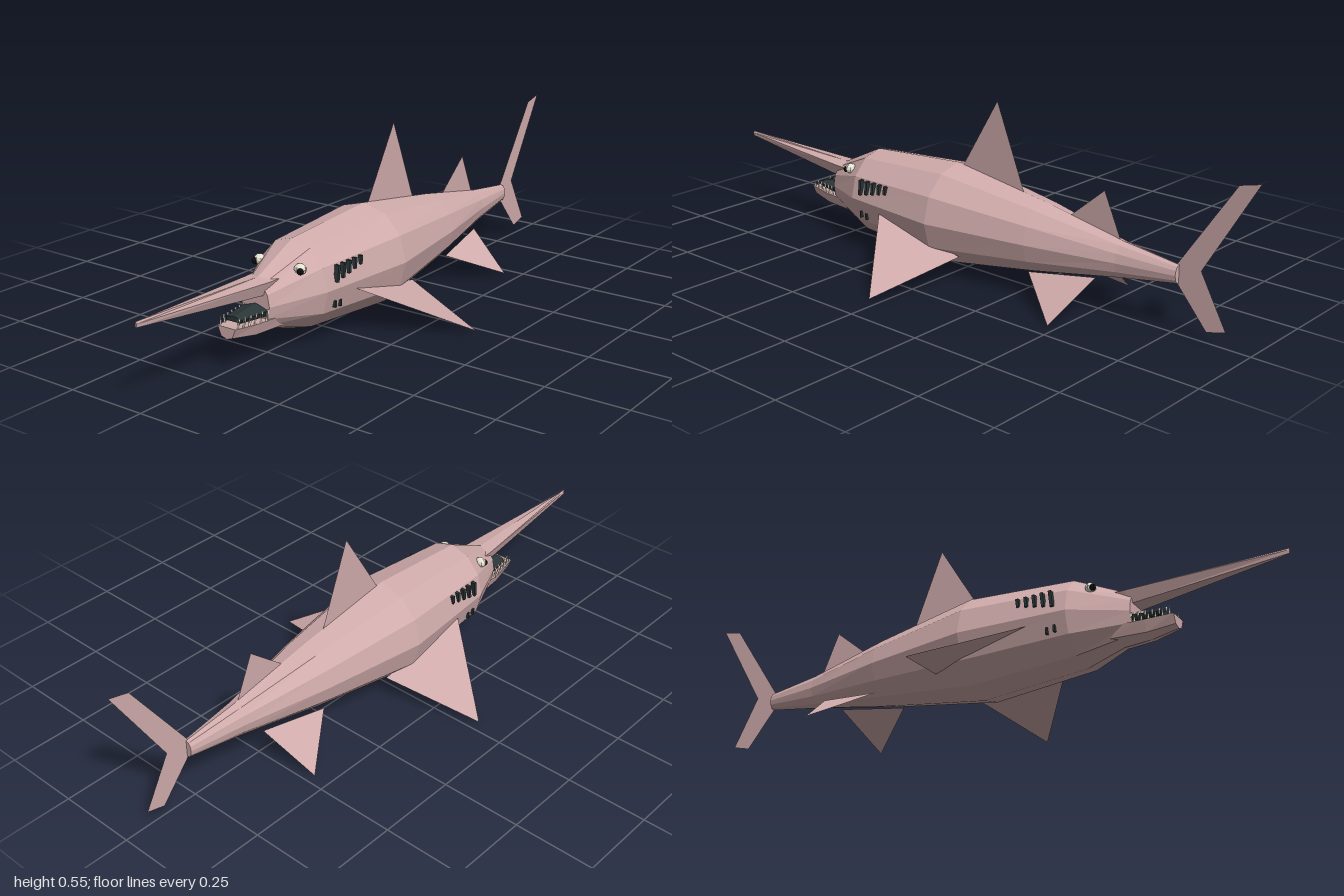
import * as THREE from 'three';

const mat = (name, color) => {
  const m = new THREE.MeshStandardMaterial({ color, flatShading: true, side: THREE.DoubleSide });
  m.name = name;
  return m;
};

// Skin over a row of cross-sections, front to back, each counterclockwise seen from +z
function loft(rings) {
  const n = rings[0].length, last = (rings.length - 1) * n, index = [];
  for (let i = 0; i < rings.length - 1; i++) {
    for (let j = 0; j < n; j++) {
      const a = i * n + j, b = i * n + (j + 1) % n, c = a + n, d = b + n;
      index.push(a, c, d, a, d, b);
    }
  }
  for (let j = 1; j < n - 1; j++) {
    index.push(0, j, j + 1, last, last + j + 1, last + j);
  }
  const g = new THREE.BufferGeometry();
  g.setAttribute('position', new THREE.Float32BufferAttribute(rings.flat(2), 3));
  g.setIndex(index);
  g.computeVertexNormals();
  return g;
}

// Upright flat fin from [z, y] outline points
function uprightFin(points) {
  const shape = new THREE.Shape(points.map(([z, y]) => new THREE.Vector2(z, y)));
  return new THREE.ShapeGeometry(shape).rotateY(-Math.PI / 2);
}

// Flat three-cornered side fin
function sideFin(points) {
  const g = new THREE.BufferGeometry();
  g.setAttribute('position', new THREE.Float32BufferAttribute(points.flat(), 3));
  g.computeVertexNormals();
  return g;
}

export function createModel() {
  const model = new THREE.Group();
  model.name = 'shark';
  const skin = mat('pinkSkin', 0xd0abab);
  const dark = mat('darkMouth', 0x2a3639);
  const pale = mat('paleIvory', 0xe6e4d4);
  const black = mat('blackPupil', 0x111111);
  const add = (name, geometry, material, parent = model) => {
    const mesh = new THREE.Mesh(geometry, material);
    mesh.name = name;
    parent.add(mesh);
    return mesh;
  };

  // Body: twelve-sided rings [z, centre y, half width, half height]
  const bodyRings = [
    [0.545, 0.16, 0.05, 0.07], [0.38, 0.173, 0.126, 0.136], [0.04, 0.172, 0.155, 0.16],
    [-0.3, 0.173, 0.102, 0.107], [-0.58, 0.172, 0.042, 0.055], [-0.765, 0.176, 0.018, 0.028],
  ].map(([z, cy, rx, ry]) => Array.from({ length: 12 }, (_, i) => {
    const a = i * Math.PI / 6;
    return [rx * Math.cos(a), cy + ry * Math.sin(a), z];
  }));
  add('body', loft(bodyRings), skin);

  // Long blade snout, five-sided and tapering to the tip
  const snoutRing = (z, w, top, side, bottom) => [
    [w * 0.7, bottom, z], [w, side, z], [0, top, z], [-w, side, z], [-w * 0.7, bottom, z]];
  add('snout', loft([
    snoutRing(1.0, 0.003, 0.252, 0.246, 0.236),
    snoutRing(0.53, 0.044, 0.236, 0.23, 0.19),
    snoutRing(0.46, 0.047, 0.236, 0.23, 0.19),
  ]), skin);

  // Jutting lower jaw
  const jawRing = (z, wTop, top, wLow, low, keel) => [
    [0, keel, z], [wLow, low, z], [wTop, top, z], [-wTop, top, z], [-wLow, low, z]];
  add('lowerJaw', loft([
    jawRing(0.667, 0.032, 0.13, 0.02, 0.102, 0.095),
    jawRing(0.585, 0.046, 0.125, 0.034, 0.09, 0.08),
    jawRing(0.45, 0.06, 0.123, 0.05, 0.09, 0.073),
  ]), skin);

  // Dark gums inside the mouth
  const gumRing = (z, w, low, mid, top) => [
    [w * 0.8, low, z], [w, mid, z], [0, top, z], [-w, mid, z], [-w * 0.8, low, z]];
  add('mouth', loft([
    gumRing(0.635, 0.03, 0.136, 0.146, 0.152),
    gumRing(0.51, 0.05, 0.13, 0.152, 0.168),
  ]), dark);

  // Upright fins
  add('dorsalFin', uprightFin([[0.02, 0.325], [-0.115, 0.55], [-0.228, 0.27]]), skin);
  add('rearDorsalFin', uprightFin([[-0.38, 0.25], [-0.51, 0.36], [-0.575, 0.215]]), skin);
  add('tailFin', uprightFin([
    [-0.755, 0.2], [-0.935, 0.466], [-1, 0.482], [-0.835, 0.203],
    [-0.92, 0.048], [-0.86, 0.032], [-0.755, 0.155]]), skin);

  // Parts on both sides
  for (const s of [1, -1]) {
    const side = new THREE.Group();
    side.name = s > 0 ? 'leftSide' : 'rightSide';
    model.add(side);
    add('pectoralFin', sideFin([
      [s * 0.125, 0.152, 0.26], [s * 0.4, 0.008, 0.03], [s * 0.11, 0.08, -0.062]]), skin, side);
    add('pelvicFin', sideFin([
      [s * 0.075, 0.085, -0.3], [s * 0.197, 0.002, -0.47], [s * 0.045, 0.115, -0.52]]), skin, side);

    // Eye with a pupil looking forward and outward
    const eye = add('eye', new THREE.SphereGeometry(0.02, 8, 6), pale, side);
    eye.position.set(s * 0.073, 0.247, 0.437);
    eye.scale.set(1, 0.8, 0.8);
    const pupil = add('pupil', new THREE.SphereGeometry(0.01, 8, 6), black, side);
    pupil.position.set(s * 0.082, 0.244, 0.448);

    // Gill slits, with the lower ends of the front two
    for (let i = 0; i < 5; i++) {
      const slit = add('gillSlit', new THREE.BoxGeometry(0.014, 0.05 - i * 0.006, 0.009), dark, side);
      slit.position.set(s * 0.126, 0.217 + i * 0.003, 0.338 - i * 0.027);
      slit.rotation.x = -0.1;
    }
    for (let i = 0; i < 2; i++) {
      const end = add('gillSlitEnd', new THREE.BoxGeometry(0.012, 0.02, 0.006), dark, side);
      end.position.set(s * 0.12, 0.126 - i * 0.003, 0.343 - i * 0.024);
    }

    // Needle teeth along both jaws
    for (let i = 0; i < 6; i++) {
      const z = 0.555 + i * 0.02, t = i / 5;
      const lower = add('lowerTooth', new THREE.ConeGeometry(0.004, 0.03, 4), pale, side);
      lower.position.set(s * (0.047 - 0.016 * t), 0.138 + 0.006 * t, z);
      const upper = add('upperTooth', new THREE.ConeGeometry(0.004, 0.024, 4), pale, side);
      upper.position.set(s * (0.045 - 0.017 * t), 0.142, z - 0.01);
      upper.rotation.x = Math.PI;
    }
  }
  return model;
}
